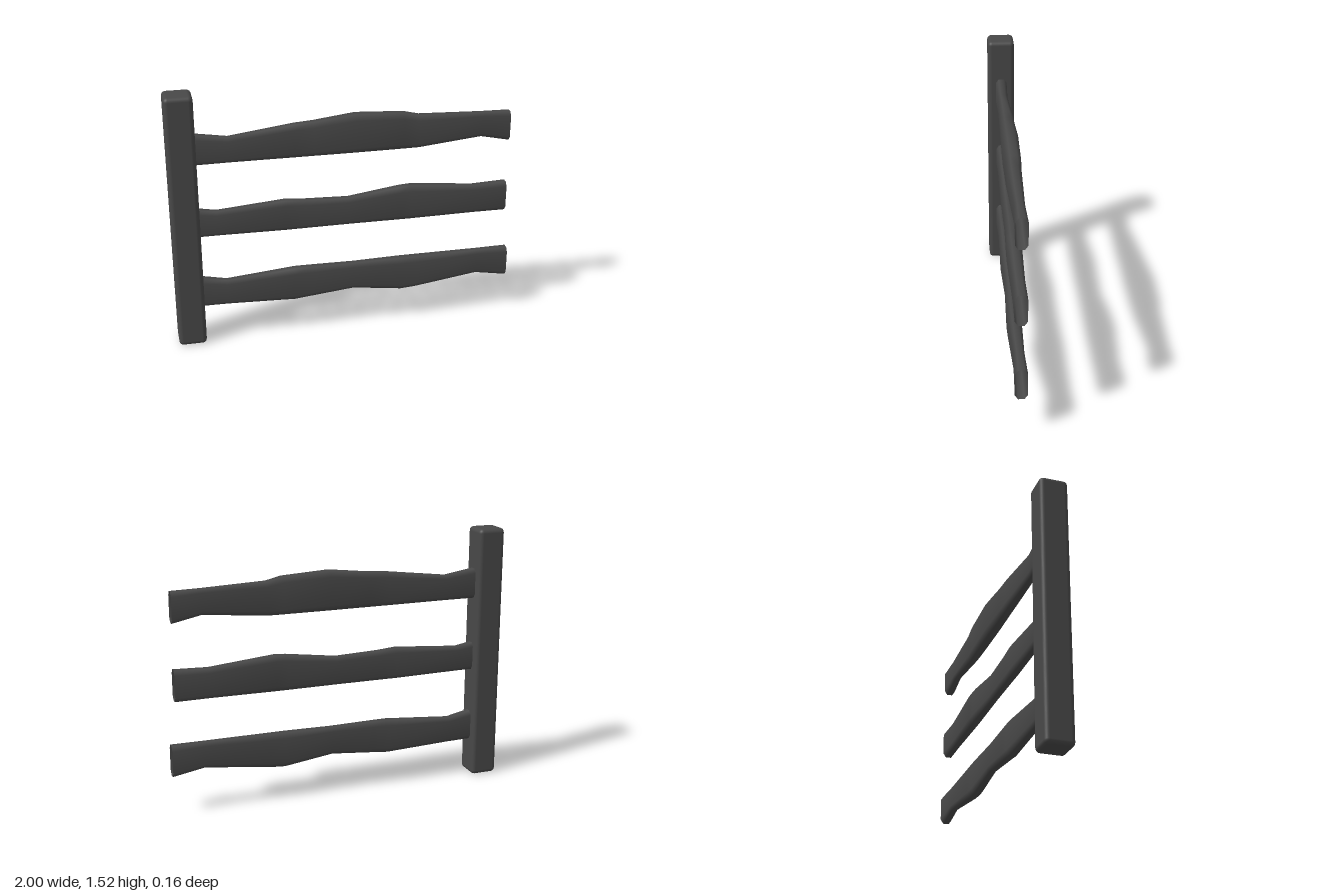
import * as THREE from 'three';
import { RoundedBoxGeometry } from 'three/addons/geometries/RoundedBoxGeometry.js';

const material = new THREE.MeshStandardMaterial({ color: 0x484848, side: THREE.DoubleSide });

// Chamfered section: [depth fraction, height fraction]
const section = [
  [1, 0.14], [1, 0.86], [0.5, 1], [-0.5, 1],
  [-1, 0.86], [-1, 0.14], [-0.5, 0], [0.5, 0],
];

// Open-ended hewn rail lofted through stations [x, bottom, top]
function rail(name, stations) {
  const positions = [], index = [], n = section.length;
  stations.forEach(([x, bottom, top], i) => {
    const h = top - bottom, halfDepth = h * 0.19;
    section.forEach(([d, f], j) => {
      positions.push(x, bottom + f * h, d * halfDepth);
      if (i === 0) return;
      const k = (j + 1) % n, a = (i - 1) * n, b = i * n;
      index.push(a + j, b + j, b + k, a + j, b + k, a + k);
    });
  });
  const geometry = new THREE.BufferGeometry();
  geometry.setAttribute('position', new THREE.Float32BufferAttribute(positions, 3));
  geometry.setIndex(index);
  geometry.computeVertexNormals();
  const mesh = new THREE.Mesh(geometry, material);
  mesh.name = name;
  return mesh;
}

export function createModel() {
  const group = new THREE.Group();
  group.name = 'fenceSection';

  // Upright post at one end
  const post = new THREE.Mesh(new RoundedBoxGeometry(0.16, 1.52, 0.16, 3, 0.025), material);
  post.position.set(-0.92, 0.76, 0);
  post.name = 'post';
  group.add(post);

  // Three uneven rails
  group.add(rail('topRail', [
    [-0.86, 1.105, 1.283], [-0.66, 1.105, 1.252], [-0.29, 1.105, 1.298], [-0.18, 1.105, 1.305],
    [0.06, 1.105, 1.333], [0.34, 1.105, 1.318], [0.43, 1.105, 1.297],
    [0.8, 1.14, 1.284], [0.97, 1.105, 1.28],
  ]));
  group.add(rail('middleRail', [
    [-0.86, 0.665, 0.833], [-0.74, 0.664, 0.812], [-0.35, 0.66, 0.842], [-0.24, 0.66, 0.833],
    [0.02, 0.66, 0.824], [0.32, 0.66, 0.864], [0.39, 0.66, 0.868],
    [0.77, 0.661, 0.833], [0.97, 0.66, 0.84],
  ]));
  group.add(rail('bottomRail', [
    [-0.86, 0.22, 0.402], [-0.7, 0.216, 0.369], [-0.3, 0.202, 0.402], [-0.21, 0.211, 0.402],
    [0.05, 0.235, 0.399], [0.34, 0.197, 0.402], [0.43, 0.203, 0.402],
    [0.81, 0.252, 0.403], [1, 0.22, 0.403],
  ]));
  return group;
}
